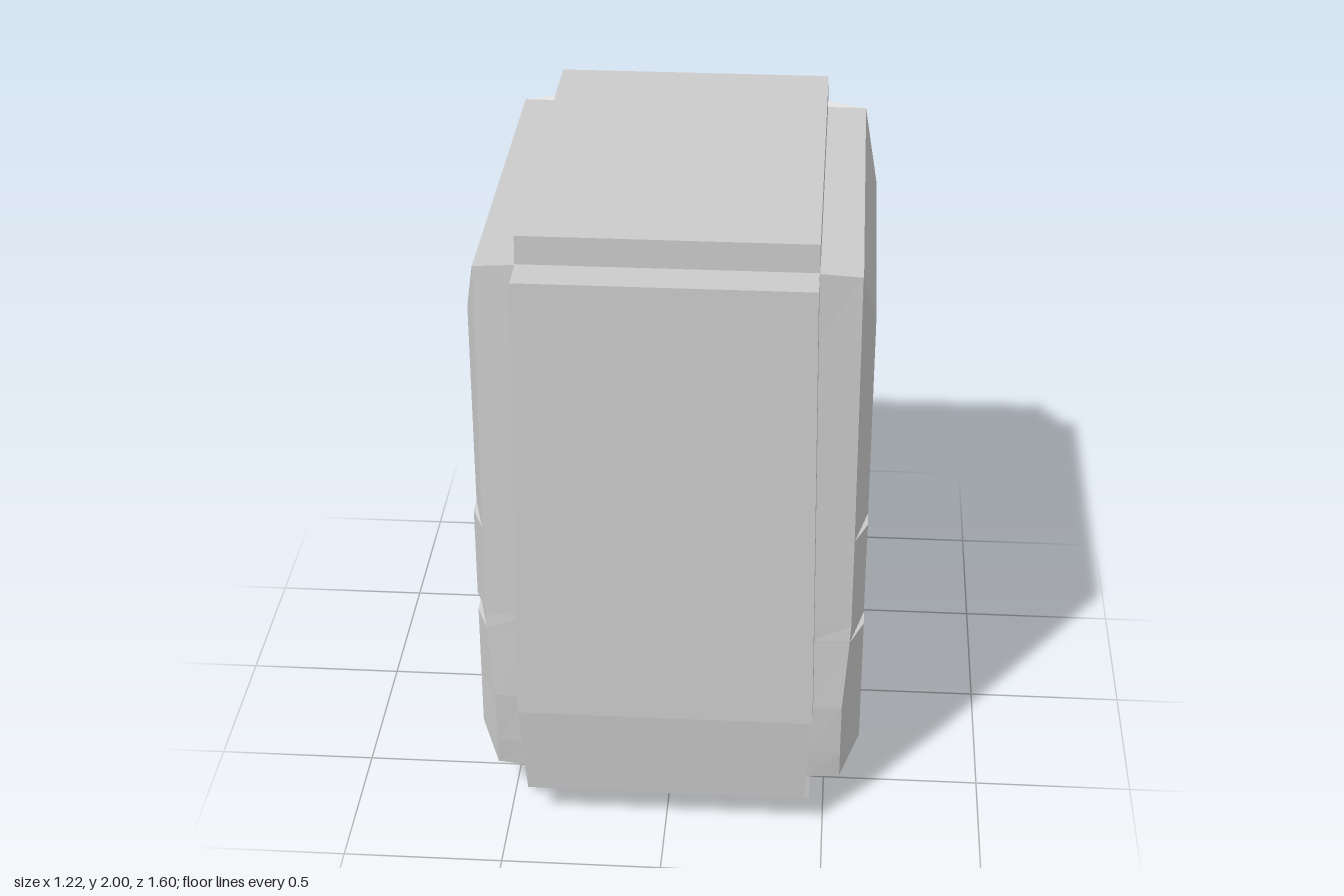
import * as THREE from 'three';

// Skin rows of [x, y, z] points, listed bottom to top; both ends close onto the x = 0 plane
function loft(name, rows, closed) {
  const flat = (row) => row.map(([, y, z]) => [0, y, z]);
  const all = [flat(rows[0]), ...rows, flat(rows[rows.length - 1])];
  const n = rows[0].length;
  const index = [];
  for (let r = 0; r < all.length - 1; r++) {
    for (let i = 0; i < (closed ? n : n - 1); i++) {
      const a = r * n + i, b = r * n + ((i + 1) % n);
      index.push(a, b, b + n, a, b + n, a + n);
    }
  }
  let geo = new THREE.BufferGeometry();
  geo.setAttribute('position', new THREE.Float32BufferAttribute(all.flat(2), 3));
  geo.setIndex(index);
  geo = geo.toNonIndexed();
  geo.computeVertexNormals();
  const mesh = new THREE.Mesh(geo, new THREE.MeshStandardMaterial({
    color: 0xcccccc, flatShading: true, side: THREE.DoubleSide,
  }));
  mesh.name = name;
  return mesh;
}

// Rectangular ring with extra points at z = ±d, where the underside sags
function ring(hx, hz, y, d = 0.22, yMid = y) {
  return [
    [-hx, y, hz], [hx, y, hz], [hx, yMid, d], [hx, yMid, -d],
    [hx, y, -hz], [-hx, y, -hz], [-hx, yMid, -d], [-hx, yMid, d],
  ];
}

// Side panel section: body edge, panel edge, bevelled outer face
function sideRow(y, zc, xe, ze, xo, zFront, zBack, yOuter = y, yMid = yOuter) {
  return [
    [0.44, y, zc], [xe, yOuter, ze], [xo, yOuter, zFront], [xo, yMid, 0.25],
    [xo, yMid, -0.25], [xo, yOuter, -zBack], [xe, yOuter, -ze], [0.44, y, -zc],
  ];
}

export function createModel() {
  const model = new THREE.Group();

  // Tall block that forms the front and back panels
  model.add(loft('frontAndBackPanels', [
    ring(0.44, 0.775, 0.12), ring(0.46, 0.8, 0.43), ring(0.44, 0.775, 1.91),
  ], true));

  // Block that forms the lid and the sagging base
  model.add(loft('topAndBottomPanels', [
    ring(0.455, 0.65, 0.025, 0.22, 0), ring(0.46, 0.65, 0.43), ring(0.44, 0.65, 2),
  ], true));

  // Bevelled side panels with shallow notches, the right one turned half round
  const sideRows = [
    sideRow(0.115, 0.655, 0.55, 0.645, 0.552, 0.643, 0.643, 0.12, 0.095),
    sideRow(0.215, 0.665, 0.55, 0.657, 0.61, 0.55, 0.55),
    sideRow(0.4, 0.675, 0.55, 0.67, 0.61, 0.55, 0.55),
    sideRow(0.645, 0.67, 0.567, 0.662, 0.61, 0.55, 0.55),
    sideRow(0.65, 0.67, 0.567, 0.662, 0.61, 0.49, 0.49),
    sideRow(0.705, 0.67, 0.57, 0.658, 0.61, 0.49, 0.49),
    sideRow(0.71, 0.67, 0.57, 0.658, 0.61, 0.49, 0.55),
    sideRow(0.95, 0.667, 0.57, 0.655, 0.61, 0.49, 0.55),
    sideRow(0.955, 0.667, 0.57, 0.655, 0.61, 0.55, 0.55),
    sideRow(1.01, 0.666, 0.57, 0.654, 0.61, 0.55, 0.55),
    sideRow(1.015, 0.666, 0.57, 0.654, 0.61, 0.49, 0.49),
    sideRow(1.69, 0.658, 0.567, 0.645, 0.61, 0.49, 0.49),
    sideRow(1.91, 0.655, 0.565, 0.64, 0.567, 0.638, 0.638, 1.895),
  ];
  for (const [name, turn] of [['leftPanel', 0], ['rightPanel', Math.PI]]) {
    const panel = loft(name, sideRows, false);
    panel.rotation.y = turn;
    model.add(panel);
  }
  return model;
}
